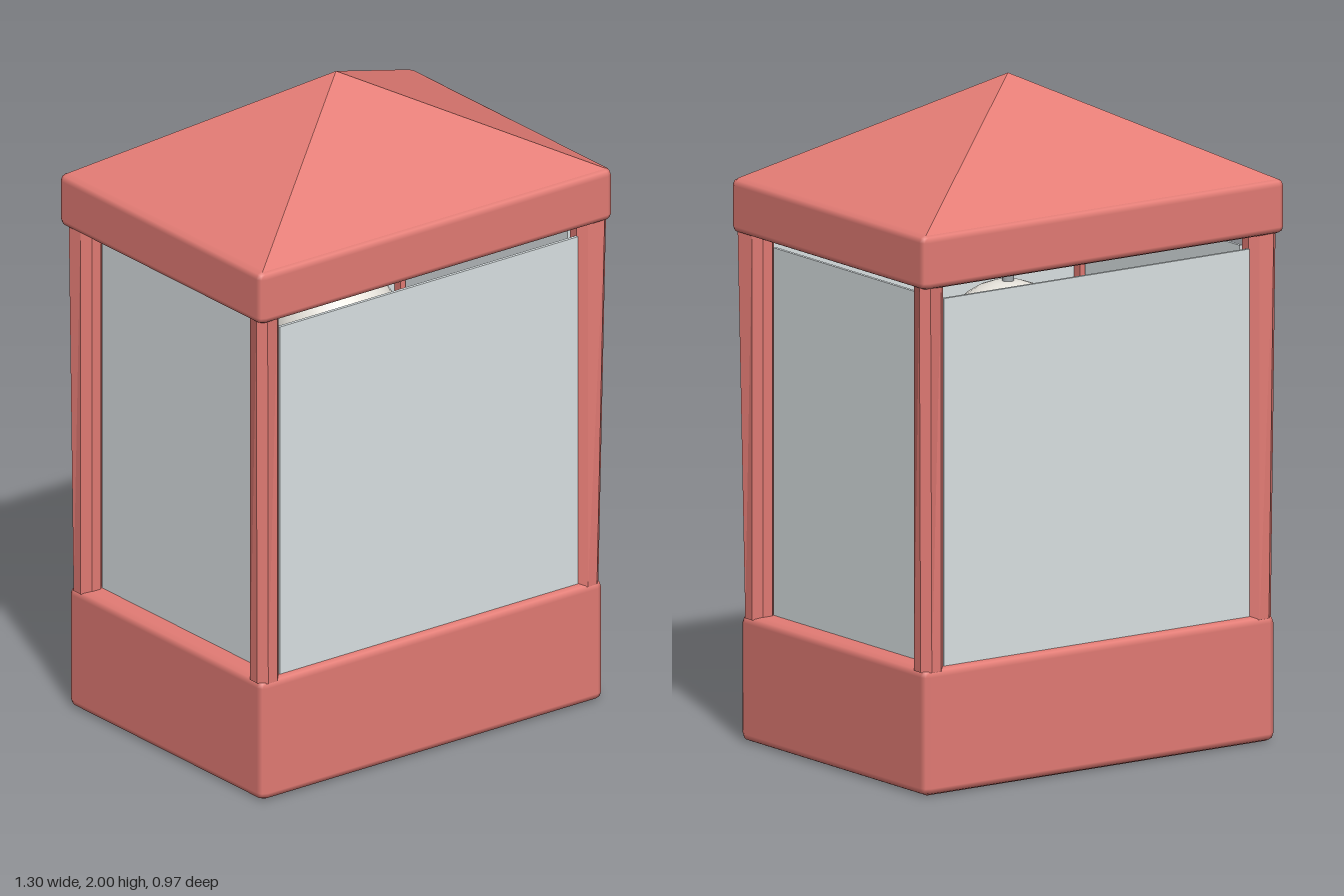
import * as THREE from 'three';
import { RoundedBoxGeometry } from 'three/addons/geometries/RoundedBoxGeometry.js';

const material = (name, color, side = THREE.FrontSide) => {
  const m = new THREE.MeshStandardMaterial({ color, side });
  m.name = name;
  return m;
};

const flat = (geometry) => {
  const g = geometry.toNonIndexed();
  g.computeVertexNormals();
  return g;
};

// Eight-sided post whose outer chamfer flares toward the roof corner
function postGeometry(sx, sz) {
  const post = new THREE.CylinderGeometry(0.0433, 0.0433, 1.17, 8).rotateY(Math.PI / 8);
  const p = post.attributes.position;
  const flare = sx > 0 ? 0.016 : 0.01;
  for (let i = 0; i < p.count; i++) {
    const outward = p.getX(i) * sx + p.getZ(i) * sz;
    if (p.getY(i) > 0 && outward > 0.05) {
      p.setX(i, p.getX(i) + sx * flare);
      p.setZ(i, p.getZ(i) + sz * flare);
    }
  }
  return flat(post);
}

export function createModel() {
  const group = new THREE.Group();
  const red = material('red frame', 0xe47c75);
  const glass = material('pale glass', 0xdce3e5, THREE.DoubleSide);
  const metal = material('grey metal', 0xa4a9ac);
  const cream = material('cream bulb', 0xf6f2ea);

  const add = (name, geometry, mat, x, y, z) => {
    const mesh = new THREE.Mesh(geometry, mat);
    mesh.name = name;
    mesh.position.set(x, y, z);
    group.add(mesh);
  };

  // Base and roof slab with small chamfers
  add('base', new RoundedBoxGeometry(1.265, 0.38, 0.925, 1, 0.024), red, 0, 0.19, 0);
  add('roofSlab', new RoundedBoxGeometry(1.304, 0.165, 0.966, 1, 0.022), red, 0, 1.6025, 0);

  // Four-sided roof, flat faces, meeting the slab at its chamfer
  const pyramid = new THREE.ConeGeometry(Math.SQRT2, 0.317, 4).rotateY(Math.PI / 4).scale(0.634, 1, 0.467);
  add('roofPyramid', flat(pyramid), red, 0, 1.8415, 0);

  // Corner posts
  for (const sx of [-1, 1]) {
    for (const sz of [-1, 1]) {
      add('cornerPost', postGeometry(sx, sz), red, sx * 0.59, 0.955, sz * 0.42);
    }
  }

  // Glass panes, stopping short of the roof
  for (const s of [-1, 1]) {
    add('widePane', new THREE.BoxGeometry(1.1, 1.1, 0.01), glass, 0, 0.93, s * 0.437);
    add('sidePane', new THREE.BoxGeometry(0.01, 1.1, 0.77), glass, s * 0.56, 0.93, 0);
  }

  // Hanging lamp
  add('lampRod', new THREE.CylinderGeometry(0.018, 0.018, 0.2, 12), metal, 0, 1.45, 0);
  add('lampBulb', new THREE.SphereGeometry(0.2, 20, 14), cream, 0, 1.18, 0);

  return group;
}
